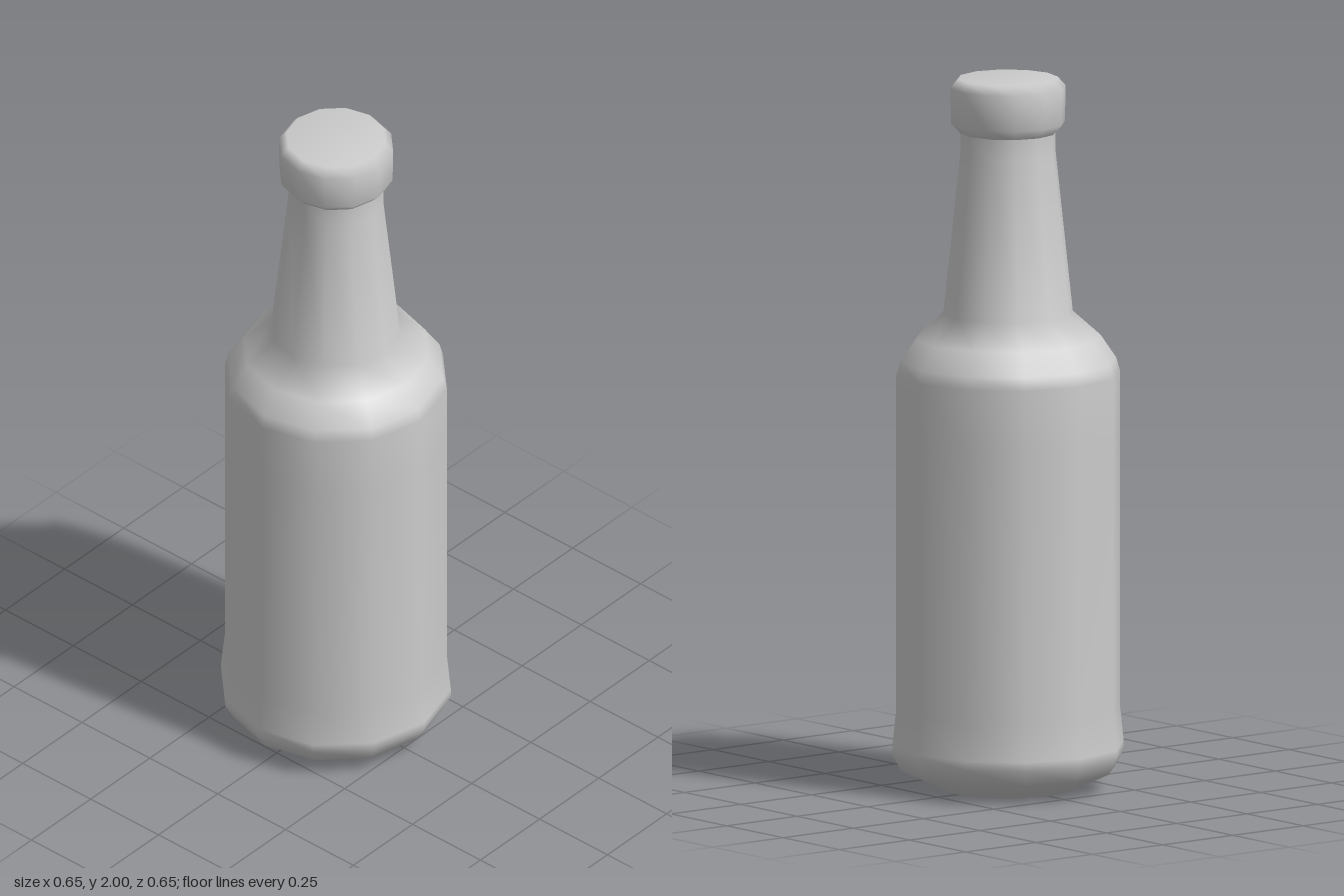
import * as THREE from 'three';

const SIDES = 12;

// Smooth twelve-sided turned part from [radius, height] pairs, bottom to top
function turned(name, profile) {
  const points = profile.map(([r, y]) => new THREE.Vector2(r, y));
  const material = new THREE.MeshStandardMaterial({ color: 0xcccccc });
  const mesh = new THREE.Mesh(new THREE.LatheGeometry(points, SIDES), material);
  mesh.name = name;
  return mesh;
}

export function createModel() {
  const bottle = new THREE.Group();
  bottle.name = 'bottle';

  // Closed base, bulging heel, straight body, rounded shoulder and tapering neck
  bottle.add(turned('bottleBody', [
    [0, 0], [0.18, 0], [0.3, 0.055], [0.325, 0.1], [0.325, 0.125],
    [0.314, 0.23], [0.314, 1.0], [0.314, 1.17], [0.304, 1.205],
    [0.26, 1.27], [0.182, 1.34], [0.134, 1.79], [0.134, 1.85],
  ]));

  // Wider cap with chamfered rims and a flat top
  bottle.add(turned('cap', [
    [0.132, 1.845], [0.16, 1.875], [0.162, 1.975], [0.14, 2], [0, 2],
  ]));

  return bottle;
}
